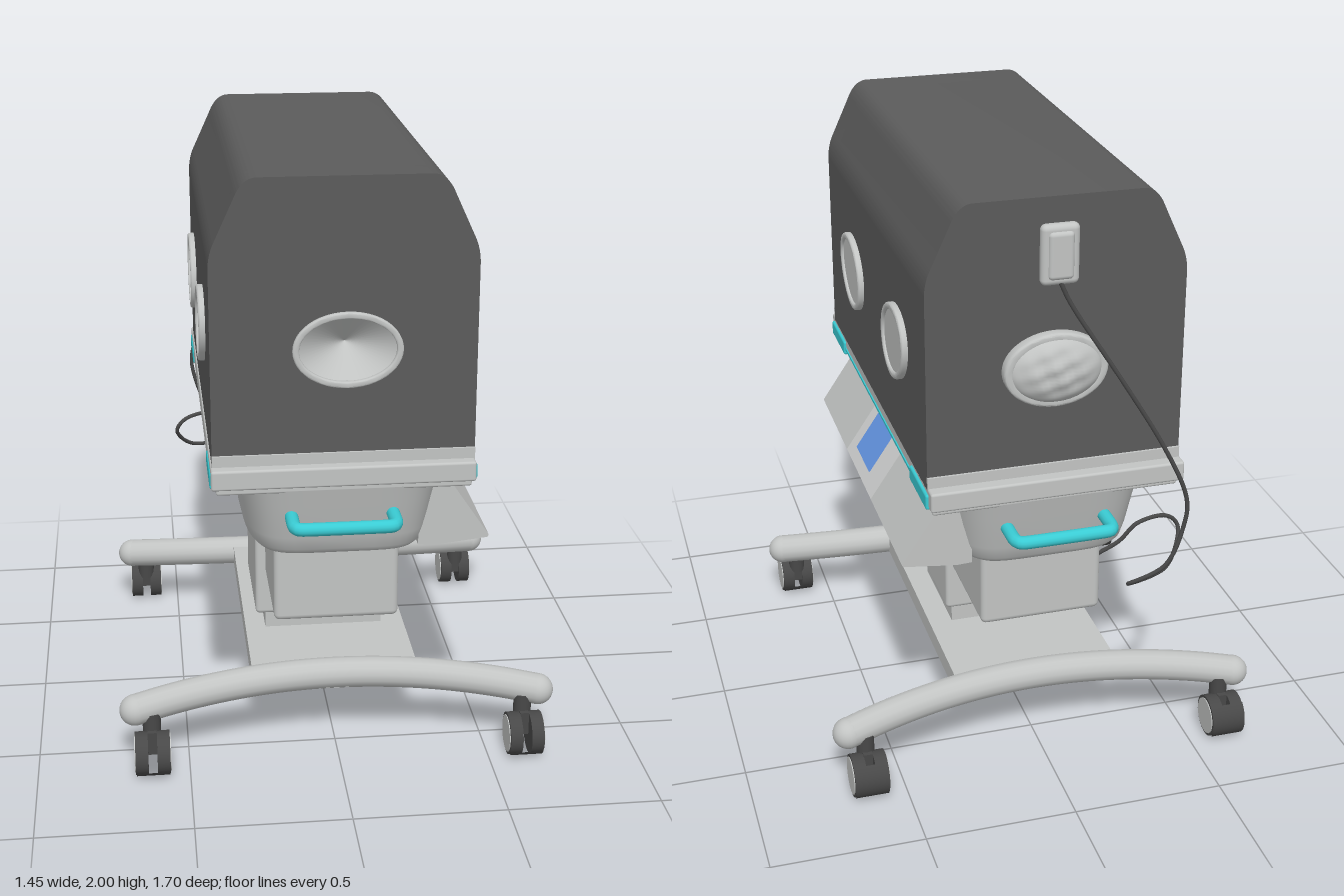
import * as THREE from 'three';
import { toCreasedNormals } from 'three/addons/utils/BufferGeometryUtils.js';
import { RoundedBoxGeometry } from 'three/addons/geometries/RoundedBoxGeometry.js';

const mat = (name, color, side = THREE.FrontSide) => {
  const m = new THREE.MeshStandardMaterial({ color, side });
  m.name = name;
  return m;
};

export function createModel() {
  const root = new THREE.Group();
  root.name = 'incubator';
  const hoodGrey = mat('hood grey', 0x5b5b5b);
  const shell = mat('shell grey', 0xc2c4c3, THREE.DoubleSide);
  const pale = mat('pale grey', 0xd0d2d1);
  const cyan = mat('cyan', 0x3accd4);
  const blue = mat('screen blue', 0x6698e8);
  const dark = mat('dark rubber', 0x484848);

  const add = (name, geo, m, x = 0, y = 0, z = 0, parent = root) => {
    const mesh = new THREE.Mesh(geo, m);
    mesh.name = name;
    mesh.position.set(x, y, z);
    parent.add(mesh);
    return mesh;
  };
  // Box given by its min and max corners, optionally rounded
  const block = (name, m, [x0, x1], [y0, y1], [z0, z1], r = 0) => {
    const s = [x1 - x0, y1 - y0, z1 - z0];
    const geo = r ? new RoundedBoxGeometry(...s, 3, r) : new THREE.BoxGeometry(...s);
    return add(name, geo, m, (x0 + x1) / 2, (y0 + y1) / 2, (z0 + z1) / 2);
  };
  const extrude = (shape, depth, bevel = 0) => toCreasedNormals(new THREE.ExtrudeGeometry(shape, {
    depth: depth - bevel, curveSegments: 24, bevelEnabled: bevel > 0,
    bevelSize: bevel, bevelThickness: bevel, bevelOffset: -bevel, bevelSegments: 3,
  }), 0.7);
  const tube = (points, r, seg, tension = 0.5) => new THREE.TubeGeometry(
    new THREE.CatmullRomCurve3(points.map(p => new THREE.Vector3(...p)), false, 'catmullrom', tension), seg, r, 14);
  // Egg outline, wider towards the top when k > 0
  const egg = (rx, ry, k = 0, lean = 0) => Array.from({ length: 48 }, (_, i) => {
    const a = i / 48 * Math.PI * 2, s = Math.sin(a);
    return new THREE.Vector2(rx * Math.cos(a) * (1 + k * s) + lean * s, ry * s);
  });
  const ring = (rx, ry, w, k, lean) => {
    const s = new THREE.Shape(egg(rx, ry, k, lean));
    s.holes.push(new THREE.Path(egg(rx - w, ry - w, k, lean)));
    return s;
  };

  // Hood: chamfered arch, with a front wall that has an oval opening
  const hoodShape = () => {
    const s = new THREE.Shape();
    s.moveTo(-0.41, 1.09);
    s.lineTo(0.41, 1.09);
    s.lineTo(0.41, 1.72);
    s.quadraticCurveTo(0.41, 1.77, 0.39, 1.81);
    s.lineTo(0.33, 1.94);
    s.quadraticCurveTo(0.305, 2, 0.26, 2);
    s.lineTo(-0.26, 2);
    s.quadraticCurveTo(-0.305, 2, -0.33, 1.94);
    s.lineTo(-0.39, 1.81);
    s.quadraticCurveTo(-0.41, 1.77, -0.41, 1.72);
    return s;
  };
  add('hood', extrude(hoodShape(), 1.32), hoodGrey, 0, 0, -0.72);
  const wall = hoodShape();
  wall.holes.push(new THREE.Path(egg(0.155, 0.107).map(p => p.add(new THREE.Vector2(0.01, 1.465)))));
  add('hoodFront', extrude(wall, 0.12), hoodGrey, 0, 0, 0.6);

  // Front iris port: ring and funnel
  add('irisRing', extrude(ring(0.17, 0.12, 0.02, 0, 0), 0.016, 0.005), shell, 0.01, 1.465, 0.719);
  const funnel = new THREE.ConeGeometry(1, 0.1, 48, 1, true).rotateX(-Math.PI / 2).scale(0.156, 0.108, 1);
  add('irisFunnel', funnel, shell, 0.01, 1.465, 0.675);

  // Rear port: ring with a gathered cloth cover
  add('rearPortRing', extrude(ring(0.165, 0.12, 0.03, 0, 0), 0.035, 0.008), shell, 0.01, 1.46, -0.75);
  const cloth = new THREE.SphereGeometry(1, 48, 32);
  const p = cloth.attributes.position;
  for (let i = 0; i < p.count; i++) {
    const x = p.getX(i), y = p.getY(i), z = p.getZ(i);
    const f = 1 + 0.16 * Math.sin(9 * x + 4 * y) * Math.sin(8 * y - 3 * x) * z * z;
    p.setXYZ(i, x * 0.15, y * 0.108, z * 0.06 * f);
  }
  cloth.computeVertexNormals();
  add('rearPortCover', cloth, shell, 0.01, 1.46, -0.737);

  // Sensor box on the rear wall
  block('sensorBox', shell, [-0.06, 0.06], [1.73, 1.92], [-0.75, -0.71], 0.018);
  block('sensorFace', shell, [-0.04, 0.04], [1.75, 1.9], [-0.76, -0.73], 0.014);

  // Side hand ports
  for (const side of [1, -1]) for (const [z, dir] of [[0.3, 1], [-0.345, -1]]) {
    const port = new THREE.Group();
    port.name = 'handPort';
    const lean = -0.02 * dir * side;
    add('portRing', extrude(ring(0.15, 0.127, 0.022, 0.06, lean), 0.026, 0.007), shell, 0, 0, 0, port);
    add('portDoor', extrude(new THREE.Shape(egg(0.13, 0.107, 0.06, lean)), 0.017), shell, 0, 0, 0, port);
    port.position.set(side * 0.405, 1.438, z);
    port.rotation.y = side * Math.PI / 2;
    root.add(port);
  }

  // Deck rim
  block('rimLip', shell, [-0.415, 0.41], [1.035, 1.1], [-0.77, 0.765], 0.008);
  block('rimBase', shell, [-0.4, 0.4], [1.012, 1.05], [-0.745, 0.745], 0.008);
  for (const s of [1, -1]) {
    block('endStrip', shell, [-0.41, 0.41], [1.09, 1.135], s > 0 ? [0.715, 0.728] : [-0.728, -0.715]);
    for (const z of [0.625, -0.625])
      add('latch', new RoundedBoxGeometry(0.02, 0.052, 0.22, 3, 0.008), cyan, s * 0.409, 1.056, z);
  }
  block('sideStripe', cyan, [0.405, 0.414], [1.05, 1.06], [-0.52, 0.52]);

  // Tub under the deck, lofted through rounded sections
  const levels = [[1.02, 0.34, 0.75], [0.96, 0.328, 0.735], [0.84, 0.31, 0.705],
    [0.795, 0.3, 0.69], [0.775, 0.285, 0.672], [0.77, 0.26, 0.645]];
  const n = 64, pos = [], idx = [];
  const power = v => Math.sign(v) * Math.abs(v) ** 0.36;
  for (const [y, hx, hz] of levels) for (let j = 0; j < n; j++) {
    const a = (j + 0.5) / n * Math.PI * 2;
    pos.push(hx * power(Math.cos(a)), y, hz * power(Math.sin(a)));
  }
  pos.push(0, 0.77, 0);
  const last = levels.length - 1;
  for (let j = 0; j < n; j++) {
    const k = (j + 1) % n;
    for (let i = 0; i < last; i++) {
      const a = i * n + j, b = i * n + k;
      idx.push(a, b, a + n, b, b + n, a + n);
    }
    idx.push(levels.length * n, last * n + j, last * n + k);
  }
  const tub = new THREE.BufferGeometry();
  tub.setAttribute('position', new THREE.Float32BufferAttribute(pos, 3));
  tub.setIndex(idx);
  tub.computeVertexNormals();
  add('tub', tub, shell);

  // Sloping control console with screen
  const wedge = new THREE.Shape([[0.25, 1.015], [0.25, 0.775], [0.3, 0.772], [0.475, 0.792], [0.48, 0.8], [0.335, 1.015]]
    .map(q => new THREE.Vector2(...q)));
  add('console', extrude(wedge, 1.295), shell, 0, 0, -0.65);
  const slope = Math.atan2(-0.215, 0.145);
  add('consolePanel', new THREE.BoxGeometry(0.255, 0.006, 0.39), pale, 0.4075, 0.9075, 0.005).rotation.z = slope;
  add('screen', new THREE.BoxGeometry(0.168, 0.009, 0.2), blue, 0.409, 0.9105, 0.03).rotation.z = slope;

  // Push handles at both ends
  for (const s of [1, -1]) {
    const pts = [[-0.16, 0.68], [-0.16, 0.79], [-0.155, 0.815], [-0.13, 0.83],
      [0.13, 0.83], [0.155, 0.815], [0.16, 0.79], [0.16, 0.68]];
    add('handle', tube(pts.map(([x, z]) => [x - 0.005, 0.925, s * z]), 0.021, 80, 0.25), cyan);
  }

  // Pedestal
  block('drawerHousing', shell, [-0.21, 0.2], [0.49, 0.78], [-0.585, 0.575], 0.02);
  block('outerColumn', shell, [-0.245, 0.225], [0.335, 0.78], [-0.21, 0.2], 0.015);
  block('innerColumn', shell, [-0.21, 0.2], [0.25, 0.35], [-0.185, 0.17]);
  block('basePlate', shell, [-0.28, 0.28], [0.205, 0.27], [-0.57, 0.52]);

  // Curved legs with twin-wheel casters
  for (const [s, mid, end] of [[1, 0.49, 0.6], [-1, 0.55, 0.66]]) {
    const pts = Array.from({ length: 13 }, (_, i) => {
      const t = i / 6 - 1;
      return [0.675 * t, 0.247 - 0.042 * t * t, s * (mid + (end - mid) * t * t)];
    });
    add('leg', tube(pts, 0.052, 60), shell);
    for (const side of [1, -1]) {
      add('legEnd', new THREE.SphereGeometry(0.052, 24, 16), shell, side * 0.675, 0.205, s * end);
      const caster = new THREE.Group();
      caster.name = 'caster';
      caster.position.set(side * 0.622, 0, s * (end + 0.05));
      root.add(caster);
      add('stem', new THREE.CylinderGeometry(0.03, 0.03, 0.1, 16), dark, 0, 0.15, -s * 0.04, caster);
      add('fork', new THREE.BoxGeometry(0.03, 0.08, 0.07), dark, 0, 0.105, -s * 0.03, caster);
      // curved fender over the wheels
      const fender = new THREE.CylinderGeometry(0.078, 0.078, 0.11, 20, 1, true, Math.PI, Math.PI * 0.65).rotateZ(Math.PI / 2);
      const f = add('fender', fender, dark, 0, 0.075, 0, caster);
      f.rotation.x = s > 0 ? -0.5 : 0.9;
      for (const w of [1, -1]) {
        add('wheel', new THREE.CylinderGeometry(0.071, 0.071, 0.042, 28).rotateZ(Math.PI / 2), dark, w * 0.036, 0.071, 0, caster);
        add('hub', new THREE.CylinderGeometry(0.062, 0.062, 0.006, 28).rotateZ(Math.PI / 2), shell, w * 0.057, 0.071, 0, caster);
      }
    }
  }

  // Sensor cable, looping round to the pedestal
  add('cable', tube([[0, 1.74, -0.74], [-0.05, 1.64, -0.745], [-0.2, 1.4, -0.775], [-0.33, 1.18, -0.79],
    [-0.41, 1, -0.802], [-0.405, 0.88, -0.803], [-0.35, 0.75, -0.8], [-0.25, 0.665, -0.74], [-0.41, 0.657, -0.66],
    [-0.485, 0.74, -0.575], [-0.44, 0.8, -0.57], [-0.33, 0.805, -0.6], [-0.27, 0.74, -0.59], [-0.2, 0.69, -0.57]],
  0.007, 160), dark);

  return root;
}
